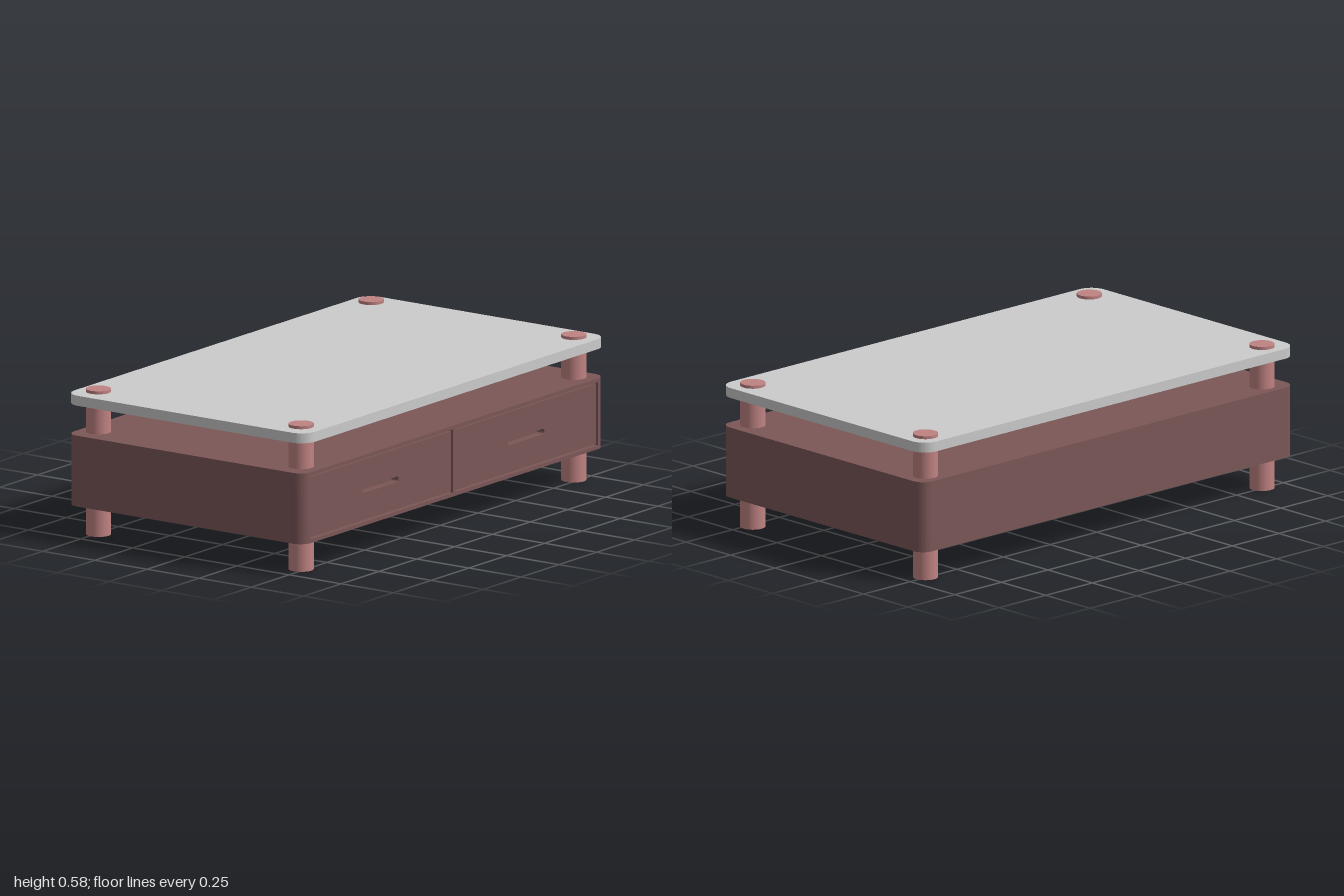
import * as THREE from 'three';
import { toCreasedNormals } from 'three/addons/utils/BufferGeometryUtils.js';

const wood = new THREE.MeshStandardMaterial({ color: 0x7c5757 });
const legWood = new THREE.MeshStandardMaterial({ color: 0xc08282 });
const grey = new THREE.MeshStandardMaterial({ color: 0xcccccc });

const POCKET_DEPTH = 0.04;
const POCKETS = [[-0.953, -0.01], [0.006, 0.948]];

// Rounded plan outline; shape -y is the front. Pockets notch the front edge.
function plan(hx, hz, r, pockets = []) {
  const s = new THREE.Shape();
  s.moveTo(-hx + r, -hz);
  for (const [a, b] of pockets) {
    s.lineTo(a, -hz);
    s.lineTo(a, -hz + POCKET_DEPTH);
    s.lineTo(b, -hz + POCKET_DEPTH);
    s.lineTo(b, -hz);
  }
  s.lineTo(hx - r, -hz);
  s.absarc(hx - r, -hz + r, r, -Math.PI / 2, 0);
  s.absarc(hx - r, hz - r, r, 0, Math.PI / 2);
  s.absarc(-hx + r, hz - r, r, Math.PI / 2, Math.PI);
  s.absarc(-hx + r, -hz + r, r, Math.PI, Math.PI * 1.5);
  return s;
}

// Extrudes a plan outline upwards from y0 to y1
function slab(name, shape, y0, y1, material) {
  const geo = new THREE.ExtrudeGeometry(shape, { depth: y1 - y0, bevelEnabled: false, curveSegments: 10 });
  geo.rotateX(-Math.PI / 2).translate(0, y0, 0);
  const mesh = new THREE.Mesh(toCreasedNormals(geo, 0.6), material);
  mesh.name = name;
  return mesh;
}

// Drawer front with a rounded slot as its grip
function drawerFront(x0, x1, gripX) {
  const s = new THREE.Shape();
  s.moveTo(x0, 0.148);
  s.lineTo(x1, 0.148);
  s.lineTo(x1, 0.389);
  s.lineTo(x0, 0.389);
  s.closePath();
  const slot = new THREE.Path();
  const r = 0.011, half = 0.109, y = 0.267;
  slot.absarc(gripX + half, y, r, -Math.PI / 2, Math.PI / 2);
  slot.absarc(gripX - half, y, r, Math.PI / 2, Math.PI * 1.5);
  slot.closePath();
  s.holes.push(slot);
  const geo = new THREE.ExtrudeGeometry(s, { depth: 0.036, bevelEnabled: false, curveSegments: 8 });
  const mesh = new THREE.Mesh(toCreasedNormals(geo, 0.6), wood);
  mesh.position.z = 0.528;
  mesh.name = 'drawerFront';
  return mesh;
}

export function createModel() {
  const table = new THREE.Group();
  table.name = 'coffeeTable';

  // Cabinet: floor, notched walls and lid
  const body = new THREE.Group();
  body.name = 'cabinet';
  body.add(
    slab('cabinetFloor', plan(1, 0.569, 0.05), 0.127, 0.142, wood),
    slab('cabinetWalls', plan(1, 0.569, 0.05, POCKETS), 0.142, 0.395, wood),
    slab('cabinetLid', plan(1, 0.569, 0.05), 0.395, 0.41, wood),
    drawerFront(-0.945, -0.018, -0.483),
    drawerFront(0.014, 0.941, 0.48)
  );
  table.add(body);

  // Table top
  table.add(slab('tableTop', plan(1, 0.577, 0.065), 0.53, 0.57, grey));

  // Legs run through the cabinet and just above the top
  for (const x of [-0.894, 0.91]) {
    for (const z of [0.481, -0.491]) {
      const leg = new THREE.Mesh(new THREE.CylinderGeometry(0.049, 0.049, 0.582, 40), legWood);
      leg.position.set(x, 0.291, z);
      leg.name = 'leg';
      table.add(leg);
    }
  }
  return table;
}
